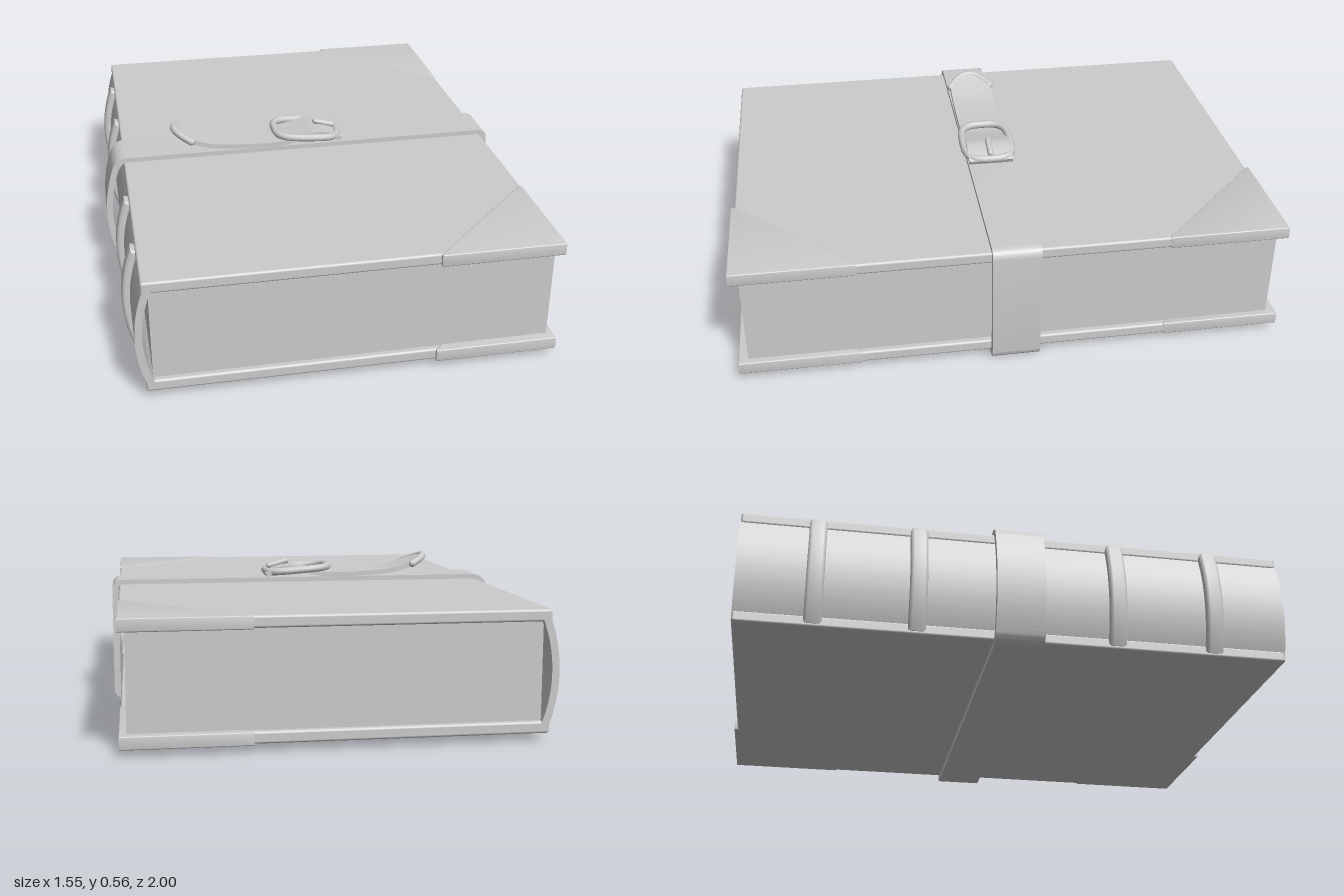
import * as THREE from 'three';
import { RoundedBoxGeometry } from 'three/addons/geometries/RoundedBoxGeometry.js';
import { toCreasedNormals } from 'three/addons/utils/BufferGeometryUtils.js';

const MID = 0.237;      // middle height of the book
const ARC_X = -0.21;    // centre of the spine's curve
const material = new THREE.MeshStandardMaterial({ color: 0xcccccc });

export function createModel() {
  const book = new THREE.Group();
  book.name = 'beltedBook';
  const add = (name, geometry, x = 0, y = 0, z = 0) => {
    const mesh = new THREE.Mesh(geometry, material);
    mesh.name = name;
    mesh.position.set(x, y, z);
    book.add(mesh);
    return mesh;
  };

  // Extrude along z, centred, with smooth curves and sharp edges
  const extrude = (shape, depth, bevel = 0) => {
    const g = new THREE.ExtrudeGeometry(shape, {
      depth: depth - 2 * bevel, curveSegments: 24, bevelEnabled: bevel > 0,
      bevelThickness: bevel, bevelSize: bevel, bevelOffset: -bevel, bevelSegments: 3,
    });
    g.translate(0, 0, bevel - depth / 2);
    return toCreasedNormals(g, 0.6);
  };

  // Curved band between two radii, bulging towards -x
  const arcBand = (rIn, rOut, angle) => {
    const s = new THREE.Shape();
    s.absarc(ARC_X, MID, rOut, Math.PI - angle, Math.PI + angle, false);
    s.absarc(ARC_X, MID, rIn, Math.PI + angle, Math.PI - angle, true);
    s.closePath();
    return s;
  };

  // Page block
  add('pages', new THREE.BoxGeometry(1.4, 0.346, 1.93), 0.025, 0.24, 0);

  // Covers with corner guards
  for (const [side, y] of [['bottom', 0.048], ['top', 0.433]]) {
    add(side + 'Cover', new RoundedBoxGeometry(1.447, 0.042, 1.974, 3, 0.009), 0.0245, y, 0);
    for (const s of [-1, 1]) {
      const tri = new THREE.Shape([
        new THREE.Vector2(0.75, s), new THREE.Vector2(0.31, s),
        new THREE.Vector2(0.31, s * 0.988), new THREE.Vector2(0.738, s * 0.56),
        new THREE.Vector2(0.75, s * 0.56),
      ]);
      const g = extrude(tri, 0.046, 0.004);
      g.rotateX(-Math.PI / 2);
      add(side + (s > 0 ? 'Back' : 'Front') + 'CornerGuard', g, 0, y, 0);
    }
  }

  // Rounded spine and its raised ribs
  add('spine', extrude(arcBand(0.492, 0.518, 0.4), 1.974));
  for (const z of [-0.716, -0.358, 0.358, 0.716]) {
    add('spineRib', extrude(arcBand(0.505, 0.545, 0.385), 0.062, 0.012), 0, 0, z);
  }

  // Belt wrapped around the book
  const beltOutline = (path, lo, hi, right, radius, corner) => {
    const a = 0.33;
    const ex = ARC_X - radius * Math.cos(a), ey = radius * Math.sin(a);
    path.moveTo(-0.68, lo);
    path.lineTo(right - corner, lo);
    path.quadraticCurveTo(right, lo, right, lo + corner);
    path.lineTo(right, hi - corner);
    path.quadraticCurveTo(right, hi, right - corner, hi);
    path.lineTo(-0.68, hi);
    path.quadraticCurveTo(ex + 0.014, hi, ex, MID + ey);
    path.absarc(ARC_X, MID, radius, Math.PI - a, Math.PI + a, false);
    path.quadraticCurveTo(ex + 0.014, lo, -0.68, lo);
    return path;
  };
  const belt = beltOutline(new THREE.Shape(), 0, 0.473, 0.775, 0.568, 0.04);
  belt.holes.push(beltOutline(new THREE.Path(), 0.026, 0.455, 0.75, 0.544, 0.015));
  add('belt', extrude(belt, 0.176));

  // Loose belt end: a slab bent along a curve with a rounded tip
  const bend = new THREE.CatmullRomCurve3([
    [-0.5, 0.55], [-0.43, 0.519], [-0.35, 0.495], [-0.25, 0.485], [-0.08, 0.482],
    [0.01, 0.499], [0.07, 0.511], [0.12, 0.503], [0.165, 0.482],
  ].map(([x, y]) => new THREE.Vector3(x, y, 0)));
  const tipStart = v => 0.1 * v * v;
  const onBend = (t, v, lift) => {
    const p = bend.getPointAt(t), d = bend.getTangentAt(t);
    return new THREE.Vector3(p.x - d.y * lift, p.y + d.x * lift, v * 0.086);
  };
  const tongue = new THREE.BoxGeometry(1, 0.018, 2, 48, 1, 12);
  const pos = tongue.attributes.position;
  for (let i = 0; i < pos.count; i++) {
    const v = pos.getZ(i), start = tipStart(v);
    const t = start + (1 - start) * (pos.getX(i) + 0.5);
    const p = onBend(Math.min(1, Math.max(0, t)), v, pos.getY(i));
    pos.setXYZ(i, p.x, p.y, p.z);
  }
  tongue.computeVertexNormals();
  add('beltEnd', tongue);

  // Crescent trim on the tip
  const tipPoints = [];
  for (let v = -0.98; v <= 0.99; v += 0.245) tipPoints.push(onBend(tipStart(v) + 0.012, v, 0));
  add('beltTip', new THREE.TubeGeometry(new THREE.CatmullRomCurve3(tipPoints), 32, 0.0145, 10));
  for (const p of [tipPoints[0], tipPoints[tipPoints.length - 1]]) {
    add('beltTipEnd', new THREE.SphereGeometry(0.0145, 10, 8), p.x, p.y, p.z);
  }

  // Buckle frame: rounded rectangle, slightly tilted
  const squash = c => Math.sign(c) * Math.pow(Math.abs(c), 0.6);
  const ringPoints = [];
  for (let i = 0; i < 32; i++) {
    const a = (i / 32) * Math.PI * 2;
    ringPoints.push(new THREE.Vector3(0.125 * squash(Math.cos(a)), 0, 0.094 * squash(Math.sin(a))));
  }
  const ring = new THREE.TubeGeometry(new THREE.CatmullRomCurve3(ringPoints, true), 96, 0.0145, 10, true);
  add('buckleFrame', ring, 0.034, 0.502, 0).rotation.z = -0.08;

  // Buckle prong
  const prong = new THREE.CapsuleGeometry(0.012, 0.07, 6, 12);
  prong.rotateZ(Math.PI / 2);
  add('buckleProng', prong, 0.111, 0.521, 0).rotation.z = -0.27;

  return book;
}
